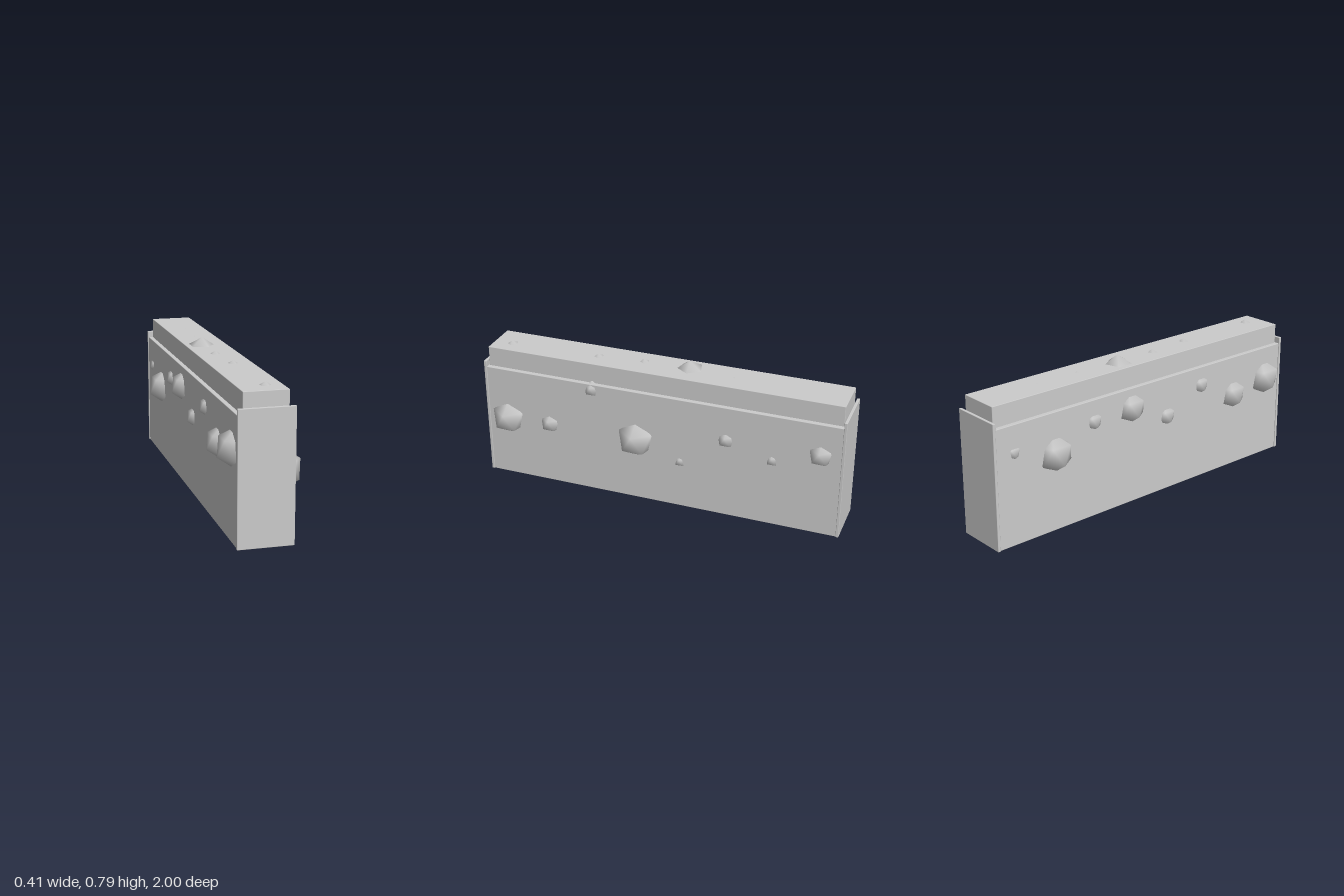
import * as THREE from 'three';
import { mergeVertices } from 'three/addons/utils/BufferGeometryUtils.js';
import { RoundedBoxGeometry } from 'three/addons/geometries/RoundedBoxGeometry.js';

const material = new THREE.MeshStandardMaterial({ color: 0xcccccc });
const CENTER_X = -0.005;

// Box with a tiny bevel, given its size, base height and z position
function block(name, w, h, d, base, z = 0) {
  const mesh = new THREE.Mesh(new RoundedBoxGeometry(w, h, d, 1, 0.003), material);
  mesh.name = name;
  mesh.position.set(CENTER_X, base + h / 2, z);
  return mesh;
}

// Smooth-shaded icosahedral stone, shared by all lumps
function stoneGeometry() {
  const geometry = new THREE.IcosahedronGeometry(1, 0);
  geometry.deleteAttribute('normal');
  geometry.deleteAttribute('uv');
  const merged = mergeVertices(geometry, 1e-4);
  merged.computeVertexNormals();
  return merged;
}

export function createModel() {
  const wall = new THREE.Group();
  wall.name = 'stoneWall';

  // Core, end slabs and coping
  wall.add(block('wallCore', 0.272, 0.64, 1.98, 0));
  for (const side of [1, -1]) {
    wall.add(block(side > 0 ? 'frontEndSlab' : 'backEndSlab', 0.282, 0.675, 0.016, 0, side * 0.992));
  }
  wall.add(block('coping', 0.224, 0.13, 1.96, 0.62));

  // Half-buried stones, all tilted alike
  const geometry = stoneGeometry();
  const addStone = (name, x, y, z, r) => {
    const stone = new THREE.Mesh(geometry, material);
    stone.name = name;
    stone.position.set(x, y, z);
    stone.rotation.z = -0.6;
    stone.scale.setScalar(r);
    wall.add(stone);
  };

  // Each side row: [height, radius], from front to back
  const leftRow = [[0.345, 0.102], [0.355, 0.062], [0.605, 0.047], [0.355, 0.108],
    [0.27, 0.04], [0.45, 0.053], [0.38, 0.042], [0.46, 0.07]];
  const rightRow = [[0.46, 0.104], [0.42, 0.088], [0.535, 0.056], [0.42, 0.06],
    [0.53, 0.088], [0.52, 0.055], [0.415, 0.104], [0.49, 0.044]];
  const rowZ = (i) => 0.875 - 0.25 * i;
  leftRow.forEach(([y, r], i) => addStone('leftStone', 0.105, y, rowZ(i), r));
  rightRow.forEach(([y, r], i) => addStone('rightStone', -0.115, y, rowZ(i), r));

  // Top stones: [x, z, radius]
  const topRow = [[0.02, 0.875, 0.068], [0.005, 0.375, 0.066], [-0.02, 0.125, 0.066],
    [-0.03, -0.125, 0.093], [-0.005, -0.375, 0.055], [0, -0.625, 0.052]];
  topRow.forEach(([x, z, r]) => addStone('topStone', x, 0.7, z, r));

  return wall;
}
